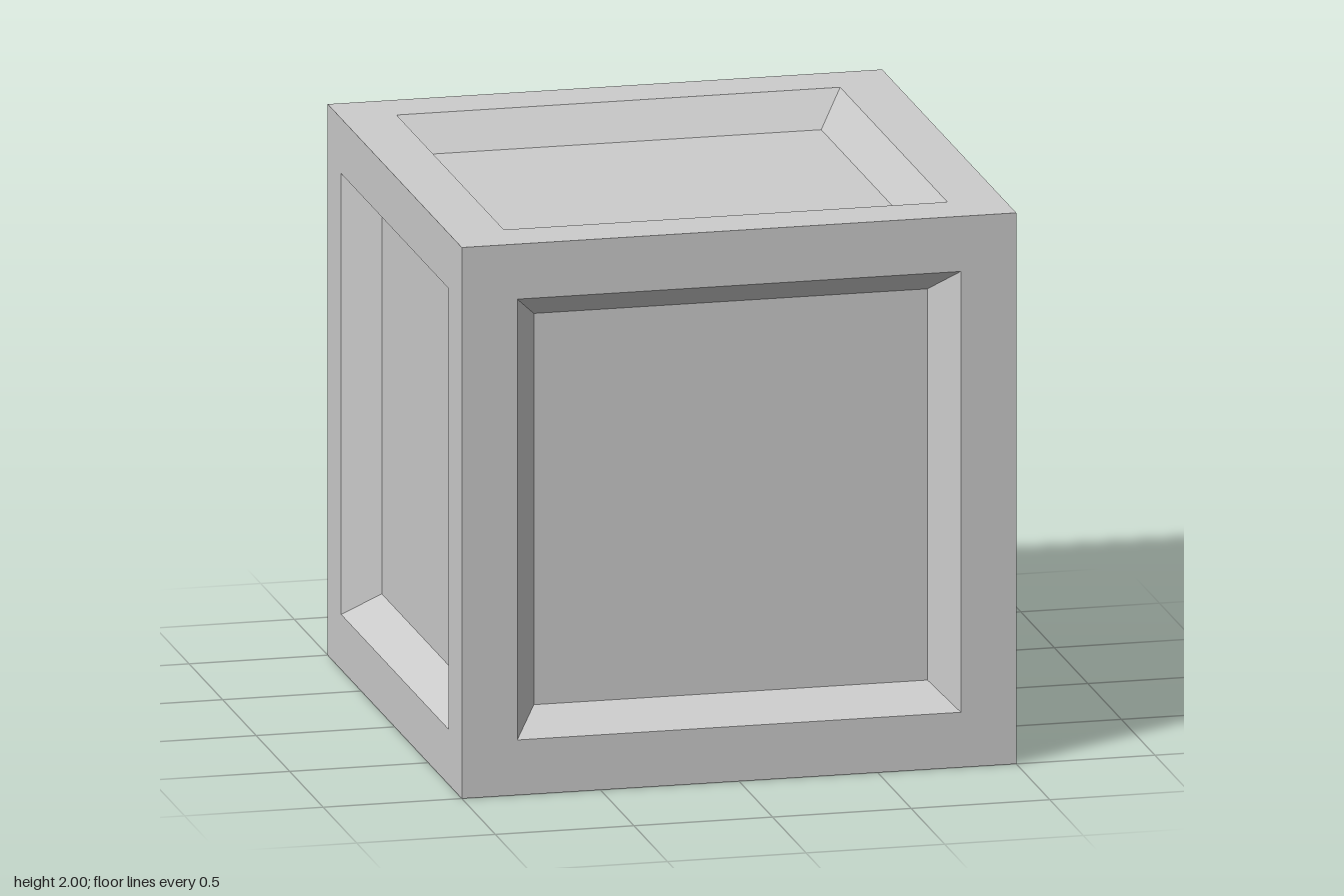
import * as THREE from 'three';
import { mergeVertices } from 'three/addons/utils/BufferGeometryUtils.js';

// Panel profile: outer half size, opening, recessed floor and its depth
const OUTER = 1, OPENING = 0.8, FLOOR = 0.71, DEPTH = 0.125;

// Centres of the broken pieces; each piece owns the surface nearest its centre
const CENTRES = [
  // front
  [-0.55, 1.6, 0.8], [-0.05, 1.85, 0.7], [0.65, 1.65, 0.75], [-0.05, 1.3, 0.75],
  [0.55, 1.22, 0.65], [0.65, 0.85, 0.8], [0.32, 0.55, 0.75], [-0.05, 0.8, 0.7],
  [-0.5, 0.85, 0.75], [-0.9, 1.25, 0.8], [-0.85, 1.8, 0.8], [-0.25, 0.3, 0.8],
  [-0.85, 0.2, 0.8], [0.5, 0.2, 0.75], [0.92, 0.3, 0.7],
  // left side (+x)
  [0.8, 1.4, 0.15], [0.8, 1.0, 0.5], [0.8, 0.8, 0.08], [0.8, 1.15, -0.25],
  [0.75, 1.6, -0.7], [0.8, 0.35, 0.35], [0.75, 0.45, -0.5],
  // top
  [-0.65, 1.8, -0.7], [-0.4, 1.75, -0.1], [0.35, 1.8, -0.45], [-0.35, 1.75, 0.5],
  [0.6, 1.8, 0.3],
  // back
  [-0.5, 1.2, -0.8], [0.1, 1.3, -0.8], [0, 0.6, -0.8], [-0.6, 0.45, -0.75],
  // right side (-x)
  [-0.8, 1.4, 0], [-0.8, 0.9, 0.3], [-0.8, 0.85, -0.3], [-0.8, 0.35, 0.1],
  // underside
  [-0.2, 0.2, 0.1], [0.3, 0.2, -0.3], [-0.3, 0.2, -0.5], [0.35, 0.2, 0.2],
].map((c) => new THREE.Vector3(...c));

// One side facing +z: four frame strips, four sloping walls and the floor
function sidePolygons() {
  const ring = (r, z) => [[-r, -r], [r, -r], [r, r], [-r, r]]
    .map(([x, y]) => new THREE.Vector3(x, y, z));
  const rings = [ring(OUTER, 1), ring(OPENING, 1), ring(FLOOR, 1 - DEPTH)];
  const polygons = [rings[2]];
  for (let k = 0; k < 2; k++) {
    for (let i = 0; i < 4; i++) {
      const j = (i + 1) % 4;
      polygons.push([rings[k][i], rings[k][j], rings[k + 1][j], rings[k + 1][i]]);
    }
  }
  return polygons;
}

// Keep the part of a convex polygon on the negative side of a plane
function clip(polygon, plane) {
  const kept = [];
  polygon.forEach((a, i) => {
    const b = polygon[(i + 1) % polygon.length];
    const da = plane.distanceToPoint(a), db = plane.distanceToPoint(b);
    if (da <= 0) kept.push(a);
    if ((da < 0 && db > 0) || (da > 0 && db < 0)) kept.push(a.clone().lerp(b, da / (da - db)));
  });
  return kept;
}

// Surface of one piece, cut by the planes halfway to every other centre
function pieceGeometry(centre, shell) {
  const planes = CENTRES.filter((c) => c !== centre).map((c) =>
    new THREE.Plane().setFromNormalAndCoplanarPoint(
      c.clone().sub(centre).normalize(), c.clone().add(centre).multiplyScalar(0.5)));
  const points = [];
  for (const polygon of shell) {
    let part = polygon;
    for (const plane of planes) {
      part = clip(part, plane);
      if (part.length < 3) break;
    }
    for (let i = 1; i < part.length - 1; i++) points.push(part[0], part[i], part[i + 1]);
  }
  if (!points.length) return null;
  const geometry = mergeVertices(new THREE.BufferGeometry().setFromPoints(points), 1e-5);
  geometry.computeVertexNormals();
  return geometry;
}

export function createModel() {
  const crate = new THREE.Group();
  crate.name = 'crackedCrate';
  const material = new THREE.MeshStandardMaterial({
    color: 0xcccccc, flatShading: true, side: THREE.DoubleSide,
  });

  // Six equal recessed sides
  const q = Math.PI / 2;
  const turns = [[0, 0], [0, q], [0, 2 * q], [0, -q], [q, 0], [-q, 0]];
  const shell = turns.flatMap(([rx, ry]) => {
    const matrix = new THREE.Matrix4().makeRotationFromEuler(new THREE.Euler(rx, ry, 0));
    matrix.setPosition(0, 1, 0);
    return sidePolygons().map((polygon) => polygon.map((p) => p.applyMatrix4
      ? p.clone().applyMatrix4(matrix) : p));
  });

  // Split the crate along its cracks
  CENTRES.forEach((centre, i) => {
    const geometry = pieceGeometry(centre, shell);
    if (!geometry) return;
    const piece = new THREE.Mesh(geometry, material);
    piece.name = `cratePiece${i + 1}`;
    crate.add(piece);
  });
  return crate;
}
